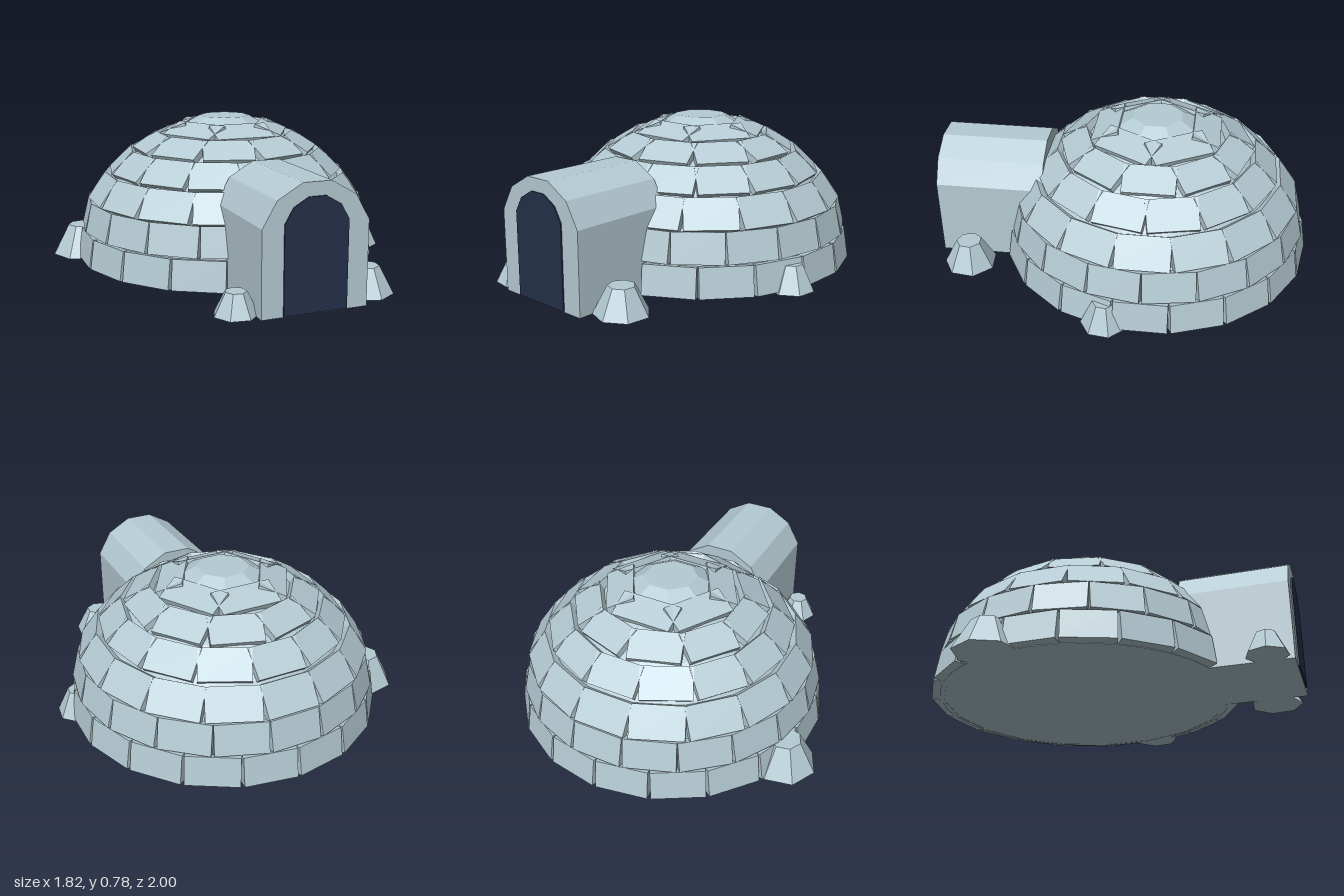
import * as THREE from 'three';

export function createModel() {
  const model = new THREE.Group();
  const ice = new THREE.MeshStandardMaterial({ name: 'ice', color: 0xb5cbd3, flatShading: true });
  const dark = new THREE.MeshStandardMaterial({ name: 'darkOpening', color: 0x243049, flatShading: true });

  const add = (name, geometry, material, parent = model) => {
    const mesh = new THREE.Mesh(geometry, material);
    mesh.name = name;
    parent.add(mesh);
    return mesh;
  };

  // Dome
  const dome = new THREE.Group();
  dome.name = 'dome';
  dome.position.set(0.03, 0, -0.165);
  model.add(dome);

  // Inner shell seen through the joints
  const profile = [[0, 0], [0.785, 0], [0.77, 0.165], [0.735, 0.32], [0.63, 0.47],
    [0.49, 0.59], [0.32, 0.675], [0, 0.73]].map(([r, y]) => new THREE.Vector2(r, y));
  add('innerShell', new THREE.LatheGeometry(profile, 36), ice, dome);

  // Courses of tilted blocks: count, outer face bottom and top (radius, height), block width
  const courses = [
    [18, 0.825, 0.01, 0.80, 0.165, 0.272],
    [18, 0.80, 0.175, 0.762, 0.33, 0.265],
    [16, 0.76, 0.337, 0.662, 0.477, 0.275],
    [14, 0.642, 0.487, 0.522, 0.602, 0.262],
    [10, 0.50, 0.61, 0.365, 0.692, 0.27],
    [6, 0.335, 0.695, 0.195, 0.752, 0.325],
  ];
  const thickness = 0.07;
  courses.forEach(([count, r0, y0, r1, y1, width], row) => {
    const height = Math.hypot(r0 - r1, y1 - y0);
    const geometry = new THREE.BoxGeometry(width, height, thickness);
    geometry.translate(0, 0, -thickness / 2);
    geometry.rotateX(-Math.atan2(r0 - r1, y1 - y0));
    geometry.translate(0, (y0 + y1) / 2, (r0 + r1) / 2);
    for (let i = 0; i < count; i++) {
      // Alternate courses shift by half a block
      const angle = Math.PI / 2 + (i + (row % 2) / 2) * 2 * Math.PI / count;
      // Leave out bottom blocks behind the entrance
      if (row < 2 && Math.cos(angle) > 0.97) continue;
      add('block', geometry, ice, dome).rotation.y = angle;
    }
  });

  // Crown
  const crown = add('crown', new THREE.CylinderGeometry(0.138, 0.23, 0.05, 8), ice, dome);
  crown.position.y = 0.755;
  crown.rotation.y = Math.PI / 8;

  // Arched outline: straight sides topped by half a twelve-sided ring
  const arch = (radius, centreY, bottom) => {
    const half = radius * Math.cos(Math.PI / 12);
    const points = [new THREE.Vector2(-half, bottom), new THREE.Vector2(half, bottom)];
    for (let i = 0; i < 6; i++) {
      const a = Math.PI / 12 + i * Math.PI / 6;
      points.push(new THREE.Vector2(radius * Math.cos(a), centreY + radius * Math.sin(a)));
    }
    return new THREE.Shape(points);
  };

  // Entrance tunnel and dark doorway
  const tunnel = new THREE.ExtrudeGeometry(arch(0.28, 0.35, 0), { depth: 0.573, bevelEnabled: false });
  add('entranceTunnel', tunnel, ice).position.set(0.03, 0, 0.42);
  const door = new THREE.ExtrudeGeometry(arch(0.168, 0.392, 0.005), { depth: 0.007, bevelEnabled: false });
  add('doorway', door, dark).position.set(0.03, 0, 0.993);

  // Snow lumps around the base: x, z, radius, height, turn
  const lumps = [
    [-0.745, -0.40, 0.168, 0.165, 0.2],
    [0.795, 0.02, 0.12, 0.135, 0.1],
    [-0.315, 0.87, 0.11, 0.112, 0.3],
    [0.395, 0.815, 0.14, 0.14, 0.1],
  ];
  for (const [x, z, radius, height, turn] of lumps) {
    const lump = add('snowLump', new THREE.CylinderGeometry(radius * 0.48, radius, height, 7), ice);
    lump.position.set(x, height / 2, z);
    lump.rotation.y = turn;
  }
  return model;
}
